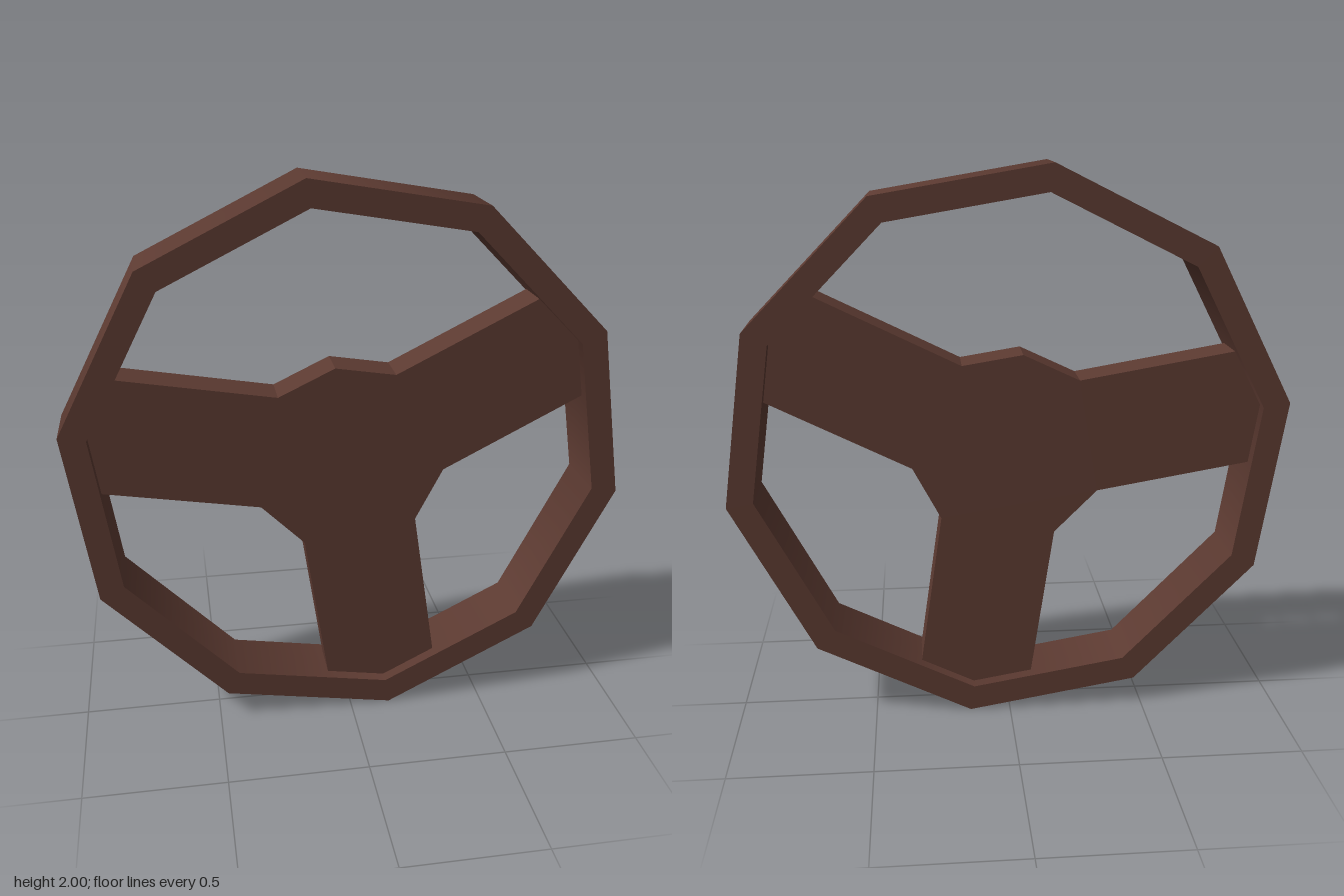
import * as THREE from 'three';
import { mergeGeometries } from 'three/addons/utils/BufferGeometryUtils.js';

export function createModel() {
  const group = new THREE.Group();
  const brown = new THREE.MeshStandardMaterial({ color: 0x5c3a31 });
  brown.name = 'dark brown';

  const add = (name, geometry) => {
    const mesh = new THREE.Mesh(geometry, brown);
    mesh.name = name;
    mesh.position.y = 1;
    group.add(mesh);
  };

  // Ten-sided rim: each side of its square section is swept on its own, so
  // the walls shade smoothly round the wheel while the section stays sharp.
  const outer = 1.011, inner = 0.915, half = 0.118;
  const tilt = THREE.MathUtils.degToRad(8.4);
  const section = [[outer, -half], [outer, half], [inner, half], [inner, -half]]
    .map(([r, h]) => new THREE.Vector2(r, h));
  const walls = section.map((p, i) =>
    new THREE.LatheGeometry([p, section[(i + 1) % 4]], 10, tilt));
  add('rim', mergeGeometries(walls).rotateX(Math.PI / 2));

  // Hub with three spokes, thinner than the rim and ending just inside it
  const outline = [
    [-0.25, 0.255], [-0.05, 0.35], [0.165, 0.315],
    [0.69, 0.575], [0.83, 0.413], [0.865, 0.207],
    [0.345, -0.055], [0.245, -0.245],
    [0.328, -0.815], [0.136, -0.917], [-0.082, -0.877],
    [-0.165, -0.31], [-0.32, -0.155],
    [-0.89, -0.058], [-0.914, 0.155], [-0.815, 0.352],
  ].map(([x, y]) => new THREE.Vector2(x, y));
  const depth = 0.146;
  const spokes = new THREE.ExtrudeGeometry(new THREE.Shape(outline), { depth, bevelEnabled: false });
  add('hubAndSpokes', spokes.translate(0, 0, -depth / 2));

  return group;
}
